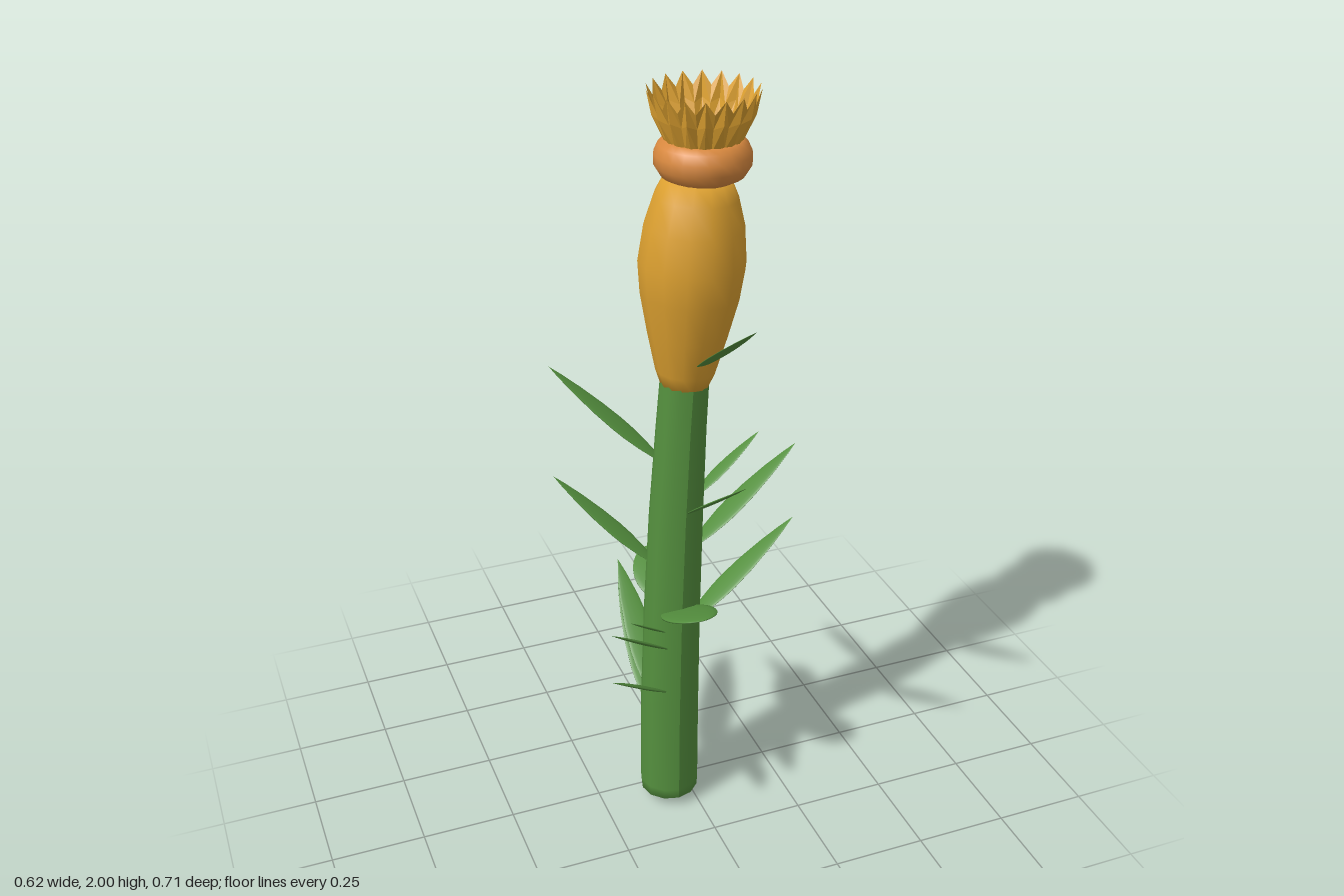
import * as THREE from 'three';

const CZ = 0.054; // depth of the plant's axis
const stemX = (y) => -0.06 + 0.028 * y * y; // gentle lean towards +x
const mat = (name, color, extra = {}) => {
  const m = new THREE.MeshStandardMaterial({ color, ...extra });
  m.name = name;
  return m;
};
const lathe = (points, sides) =>
  new THREE.LatheGeometry(points.map(([r, y]) => new THREE.Vector2(r, y)), sides);

// Blade outlines: [half width, position along the blade], both from 0 to 1
const POINTED = [[0, 0], [0.4, 0.02], [0.75, 0.15], [0.95, 0.28], [1, 0.38], [0.92, 0.54], [0.65, 0.74], [0.3, 0.9], [0, 1]];
const ROUND = Array.from({ length: 13 }, (_, i) => {
  const a = (i / 12) * Math.PI;
  return [Math.sin(a), (1 - Math.cos(a)) / 2];
});

// Thin blade that grows out of the stem and ends at the given tip
function blade(name, tip, outline, { slope, width, inset, material }) {
  const end = new THREE.Vector3(...tip);
  const axis = new THREE.Vector3(stemX(end.y - 0.2), end.y, CZ);
  const out = end.clone().sub(axis);
  const reach = out.length();
  out.normalize();
  const base = axis.clone().addScaledVector(out, inset);
  base.y -= (reach - inset) * slope;

  const dir = end.clone().sub(base);
  const length = dir.length();
  dir.normalize();
  const side = new THREE.Vector3(0, 1, 0).cross(dir).normalize();
  const normal = side.clone().cross(dir);

  const geometry = lathe(outline, 14);
  geometry.scale(length * width / 2, length, length * width * 0.06);
  geometry.applyMatrix4(new THREE.Matrix4().makeBasis(side, dir, normal).setPosition(base));
  const mesh = new THREE.Mesh(geometry, material);
  mesh.name = name;
  return mesh;
}

// Pleated ring of pointed petals: ridge and valley columns alternate
function crownGeometry(petals) {
  const ridge = [[0.088, 1.87], [0.121, 1.94], [0.133, 2.0]];
  const valley = [[0.086, 1.87], [0.105, 1.93], [0.123, 1.968]];
  const columns = petals * 2;
  const pos = [];
  const index = [];
  for (let i = 0; i < columns; i++) {
    const a = (i / columns) * Math.PI * 2;
    for (const [r, y] of i % 2 ? valley : ridge) pos.push(Math.sin(a) * r, y, Math.cos(a) * r);
    const next = (i + 1) % columns;
    for (let k = 0; k < 2; k++) {
      const p = i * 3 + k, q = next * 3 + k;
      if (i % 2) index.push(p, q, q + 1, p, q + 1, p + 1);
      else index.push(p, q, p + 1, q, q + 1, p + 1);
    }
  }
  const g = new THREE.BufferGeometry();
  g.setAttribute('position', new THREE.Float32BufferAttribute(pos, 3));
  g.setIndex(index);
  g.computeVertexNormals();
  return g;
}

export function createModel() {
  const model = new THREE.Group();
  model.name = 'flowerBud';
  const green = mat('leafGreen', 0x548f3e);
  const gold = mat('budGold', 0xdca030);
  const orange = mat('collarOrange', 0xd9893f);
  const petalGold = mat('petalGold', 0xdca030, { side: THREE.DoubleSide, flatShading: true });
  const add = (name, geometry, material, x = 0, z = CZ) => {
    const mesh = new THREE.Mesh(geometry, material);
    mesh.name = name;
    mesh.position.set(x, 0, z);
    model.add(mesh);
    return mesh;
  };

  // Stem, tapered and bent along its lean
  const stem = lathe([[0, 0], [0.05, 0.012], [0.078, 0.03], [0.08, 0.06], [0.079, 0.3], [0.075, 0.6],
    [0.07, 0.9], [0.064, 1.15], [0.06, 1.35]], 12);
  const p = stem.attributes.position;
  for (let i = 0; i < p.count; i++) p.setX(i, p.getX(i) + stemX(p.getY(i)));
  stem.computeVertexNormals();
  add('stem', stem, green);

  // Swollen bud, tilted slightly with the stem
  const bud = add('bud', lathe([[0, -0.31], [0.058, -0.305], [0.075, -0.26], [0.1, -0.16], [0.122, -0.06],
    [0.131, 0.02], [0.121, 0.11], [0.101, 0.18], [0.08, 0.225], [0, 0.23]], 14), gold, 0.004);
  bud.position.y = 1.565;
  bud.rotation.z = -0.06;

  // Rounded collar with a shallow domed top
  add('collar', lathe([[0, 1.782], [0.075, 1.784], [0.1, 1.797], [0.115, 1.822], [0.115, 1.848],
    [0.105, 1.87], [0.09, 1.882], [0.05, 1.888], [0, 1.89]], 24), orange, 0.031);

  // Crown of small petals
  add('petalCrown', crownGeometry(18), petalGold, 0.033, 0.052);

  // Narrow leaves, given by their tips
  const leaves = new THREE.Group();
  leaves.name = 'leaves';
  model.add(leaves);
  const tips = [
    [-0.06, 0.47, -0.355], [-0.06, 0.525, -0.355],
    [0.31, 0.795, 0.02], [0.31, 1.02, 0.02], [0.2, 1.08, 0.03],
    [-0.31, 0.63, 0.335], [-0.31, 0.77, 0.335], [-0.23, 0.73, 0.247],
    [-0.3, 0.955, -0.148], [-0.3, 1.27, -0.148],
    [0.027, 1.12, 0.355], [0.042, 1.52, 0.355],
  ];
  for (const tip of tips) {
    leaves.add(blade('leaf', tip, POINTED, { slope: 0.77, width: 0.19, inset: 0.055, material: green }));
  }

  // Pair of broad round seed leaves
  for (const z of [-0.144, 0.246]) {
    leaves.add(blade('seedLeaf', [-0.033, 0.69, z], ROUND, { slope: 0.38, width: 0.76, inset: 0.02, material: green }));
  }
  return model;
}
